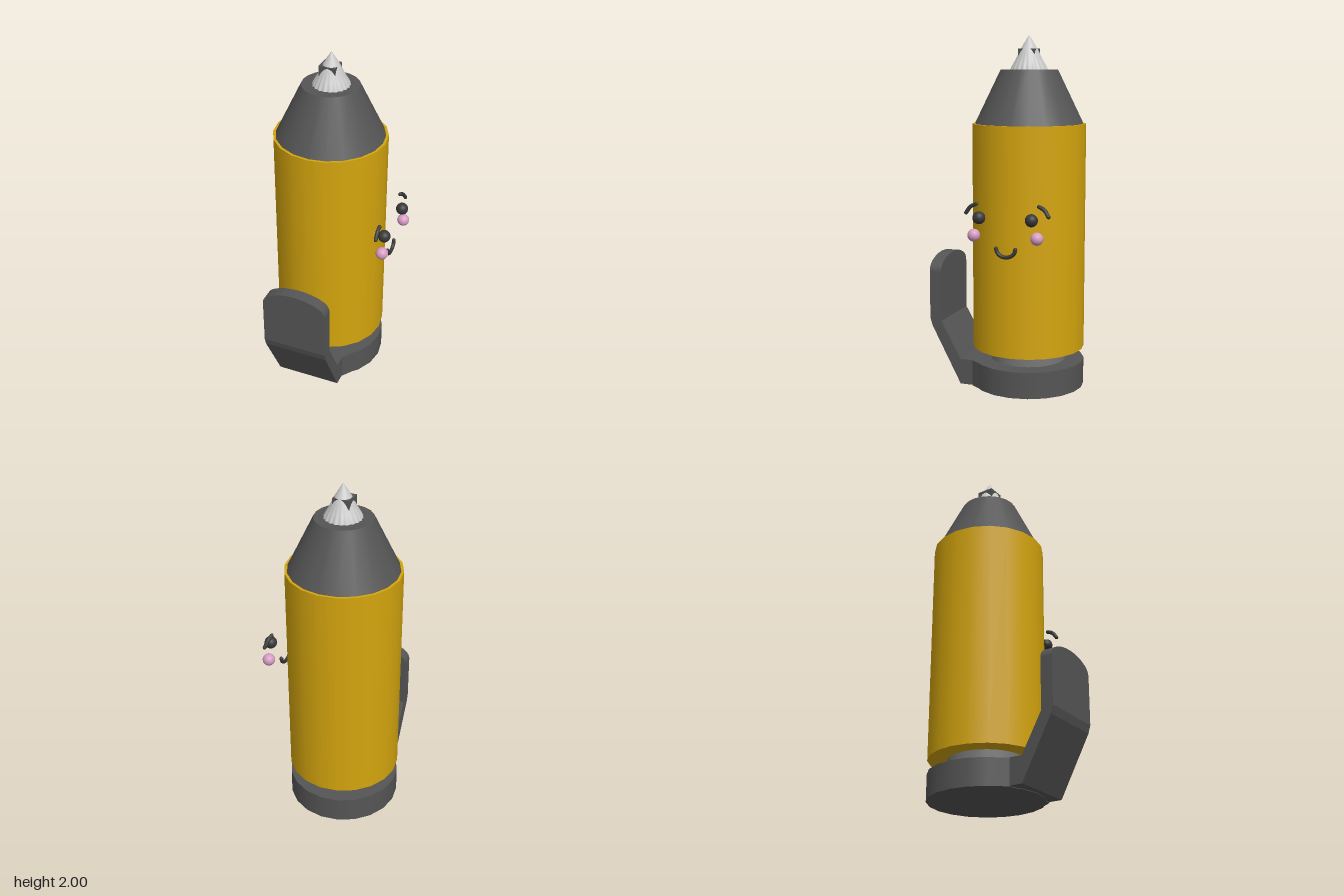
import * as THREE from 'three';

const CX = -0.05, CZ = -0.11; // main axis of the pen

export function createModel() {
  const root = new THREE.Group();
  const mat = (color) => new THREE.MeshStandardMaterial({ color });
  const gold = mat(0xd4a50e), dark = mat(0x555555), black = mat(0x383838), pink = mat(0xd79cc4);
  const grey = mat(0x777777), silver = mat(0xcccccc);
  silver.side = THREE.DoubleSide;

  const add = (name, geometry, material, x = 0, y = 0, z = 0) => {
    const mesh = new THREE.Mesh(geometry, material);
    mesh.name = name;
    mesh.position.set(x, y, z);
    root.add(mesh);
    return mesh;
  };
  // Twenty-sided drum on the main axis, between two heights
  const drum = (name, rTop, rBottom, y0, y1, material) =>
    add(name, new THREE.CylinderGeometry(rTop, rBottom, y1 - y0, 20), material, CX, (y0 + y1) / 2, CZ);
  const polygon = (pts) => new THREE.Shape(pts.map(([a, b]) => new THREE.Vector2(a, b)));
  const extrude = (shape, depth) =>
    new THREE.ExtrudeGeometry(shape, { depth, bevelEnabled: false, curveSegments: 8 });

  // Barrel
  drum('endCap', 0.32, 0.32, 0.005, 0.155, dark);
  drum('neck', 0.215, 0.215, 0.15, 0.235, grey);
  drum('barrel', 0.32, 0.32, 0.23, 1.51, gold);
  drum('noseCone', 0.16, 0.305, 1.51, 1.81, dark);

  // Writing tip: scalloped at the foot, narrowing to a point
  const profile = [[0.105, 1.81], [0.096, 1.83], [0.084, 1.85], [0.07, 1.875], [0.056, 1.905], [0.046, 1.925], [0, 2]];
  const tip = new THREE.LatheGeometry(profile.map(([r, y]) => new THREE.Vector2(r, y)), 120);
  const p = tip.attributes.position;
  for (let i = 0; i < p.count; i++) {
    const x = p.getX(i), y = p.getY(i), z = p.getZ(i);
    const fade = Math.max(0, (1.9 - y) / 0.09);
    const k = 1 - 0.03 * fade * (1 - Math.cos(20 * Math.atan2(x, z)));
    p.setXYZ(i, x * k, y, z * k);
  }
  tip.computeVertexNormals();
  add('tip', tip, silver, -0.046, 0, CZ);
  add('tipBlock', new THREE.BoxGeometry(0.096, 0.075, 0.096), dark, -0.052, 1.8875, -0.108);

  // Clip: foot joined to the end cap, bent arm, round-topped plate
  const foot = extrude(polygon([[-0.285, 0.1], [0.185, 0.1], [0.14, 0.165], [-0.24, 0.165]]), 0.15);
  foot.rotateX(Math.PI / 2).translate(0, 0.155, 0);
  add('clipFoot', foot, dark);

  const arm = extrude(polygon([
    [0.1, 0.008], [0.24, 0.008], [0.415, 0.34], [0.428, 0.385], [0.428, 0.42],
    [0.358, 0.42], [0.358, 0.37], [0.24, 0.155], [0.1, 0.155],
  ]), 0.378);
  arm.rotateY(-Math.PI / 2).translate(0.138, 0, 0);
  add('clipArm', arm, dark);

  const plate = new THREE.Shape();
  plate.moveTo(-0.24, 0.42);
  plate.lineTo(0.138, 0.42);
  plate.lineTo(0.138, 0.66);
  plate.quadraticCurveTo(0.135, 0.695, 0.1, 0.715);
  plate.bezierCurveTo(0.02, 0.76, -0.122, 0.76, -0.202, 0.715);
  plate.quadraticCurveTo(-0.237, 0.695, -0.24, 0.66);
  add('clipPlate', extrude(plate, 0.07), dark, 0, 0, 0.358);

  // Face floating off the left side
  const ball = new THREE.SphereGeometry(0.035, 24, 16);
  for (const [z, cheekZ] of [[0.043, 0.073], [-0.256, -0.287]]) {
    add('eye', ball, black, 0.335, 1.02, z);
    add('cheek', ball, pink, 0.335, 0.923, cheekZ);
  }
  // Round-ended tube through the given points
  const stroke = (name, pts) => {
    const v = pts.map((q) => new THREE.Vector3(...q));
    const group = new THREE.Group();
    group.name = name;
    group.add(new THREE.Mesh(new THREE.TubeGeometry(new THREE.CatmullRomCurve3(v), 20, 0.011, 10), black));
    for (const end of [v[0], v[v.length - 1]]) {
      const cap = new THREE.Mesh(new THREE.SphereGeometry(0.011, 10, 8), black);
      cap.position.copy(end);
      group.add(cap);
    }
    root.add(group);
  };
  stroke('leftEyebrow', [[0.315, 1.042, 0.125], [0.314, 1.076, 0.099], [0.314, 1.092, 0.066]]);
  stroke('rightEyebrow', [[0.308, 1.092, -0.289], [0.314, 1.076, -0.321], [0.323, 1.042, -0.347]]);
  const smile = [];
  for (let i = 0; i <= 8; i++) {
    const a = Math.PI * (1 + i / 8);
    smile.push([0.325, 0.856 + 0.046 * Math.sin(a), -0.107 - 0.055 * Math.cos(a)]);
  }
  stroke('smile', smile);

  return root;
}
